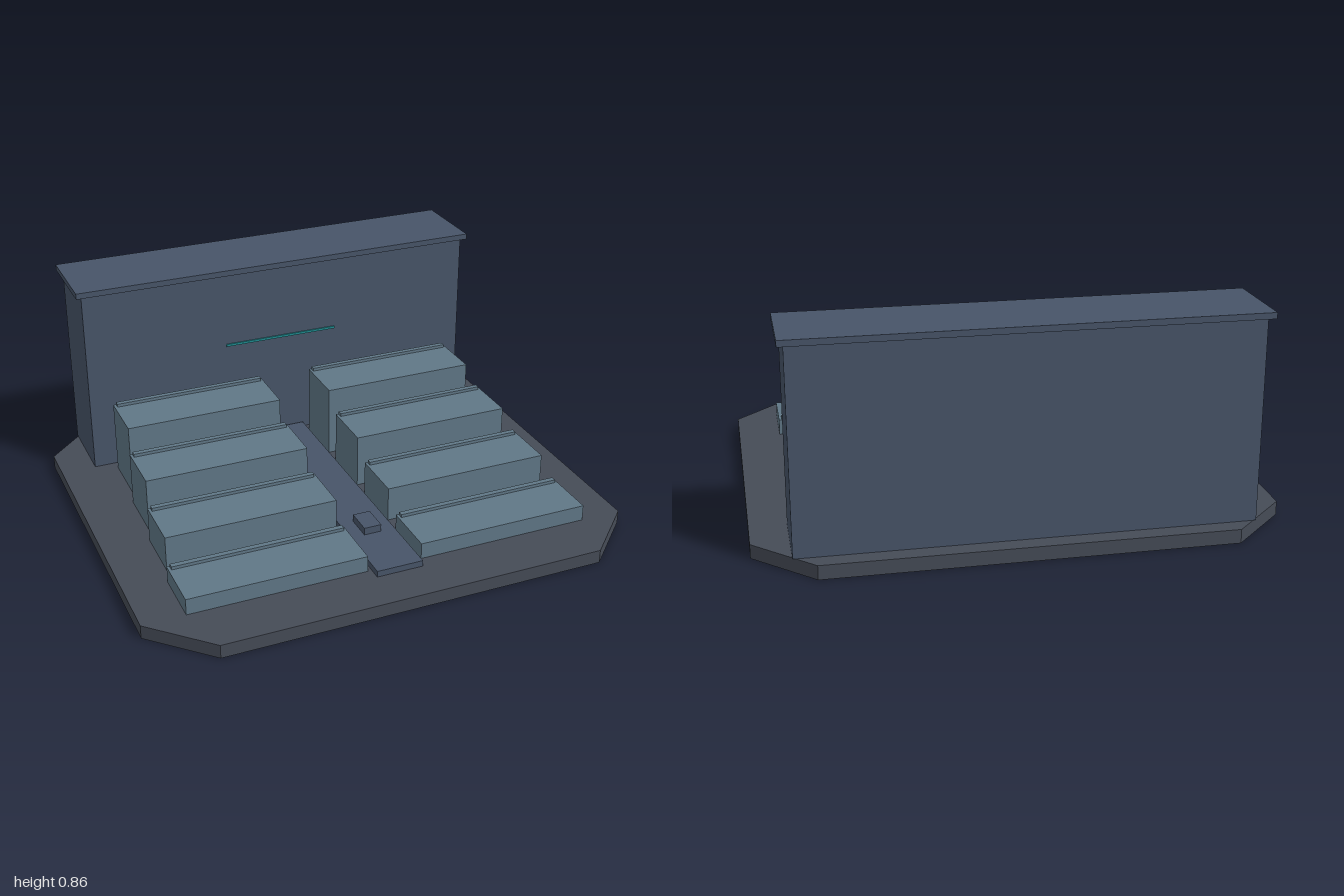
import * as THREE from 'three';

const mat = (color) => new THREE.MeshStandardMaterial({ color });

export function createModel() {
  const model = new THREE.Group();
  const baseMat = mat(0x454b56);
  const wallMat = mat(0x475468);
  const benchMat = mat(0x607786);
  const lightMat = mat(0x1f8a8f);

  // Box given by its min and max on every axis
  const box = (name, [x0, x1], [y0, y1], [z0, z1], material, parent = model) => {
    const mesh = new THREE.Mesh(new THREE.BoxGeometry(x1 - x0, y1 - y0, z1 - z0), material);
    mesh.position.set((x0 + x1) / 2, (y0 + y1) / 2, (z0 + z1) / 2);
    mesh.name = name;
    parent.add(mesh);
    return mesh;
  };

  // Floor slab with chamfered corners
  const floorTop = 0.055;
  const outline = new THREE.Shape([
    [-0.775, -0.885], [0.775, -0.885], [1, -0.665], [1, 0.665],
    [0.775, 0.885], [-0.775, 0.885], [-1, 0.665], [-1, -0.665],
  ].map(([x, y]) => new THREE.Vector2(x, y)));
  const slab = new THREE.ExtrudeGeometry(outline, { depth: floorTop, bevelEnabled: false });
  slab.rotateX(-Math.PI / 2);
  const floor = new THREE.Mesh(slab, baseMat);
  floor.name = 'floorSlab';
  model.add(floor);

  // Tall rear block with overhanging cap and a thin light strip
  box('rearWall', [-0.857, 0.857], [floorTop, 0.838], [-0.816, -0.508], wallMat);
  box('wallCap', [-0.88, 0.88], [0.838, 0.862], [-0.838, -0.492], wallMat);
  box('lightStrip', [-0.25, 0.25], [0.512, 0.522], [-0.51, -0.502], lightMat);

  // Central aisle and small lectern block
  box('aisle', [-0.095, 0.095], [floorTop, 0.08], [-0.5, 0.715], wallMat);
  box('lectern', [-0.036, 0.036], [0.08, 0.11], [0.355, 0.465], wallMat);

  // Four rising rows of benches on both sides of the aisle
  for (let row = 0; row < 4; row++) {
    const tier = new THREE.Group();
    tier.name = `benchRow${row + 1}`;
    model.add(tier);
    const z = 0.552 - row * 0.301;
    const top = 0.121 + row * 0.078;
    const back = z - 0.114;
    const inner = 0.112;
    const outer = 0.829 - row * 0.02;
    for (const s of [-1, 1]) {
      const side = s > 0 ? 'left' : 'right';
      const span = (inset) => [s * (inner + inset), s * (outer - inset)].sort((a, b) => a - b);
      box(`${side}Bench`, span(0), [floorTop, top], [back, z + 0.114], benchMat, tier);
      box(`${side}BenchRail`, span(0.011), [top, top + 0.013], [back + 0.005, back + 0.027], benchMat, tier);
    }
  }
  return model;
}
